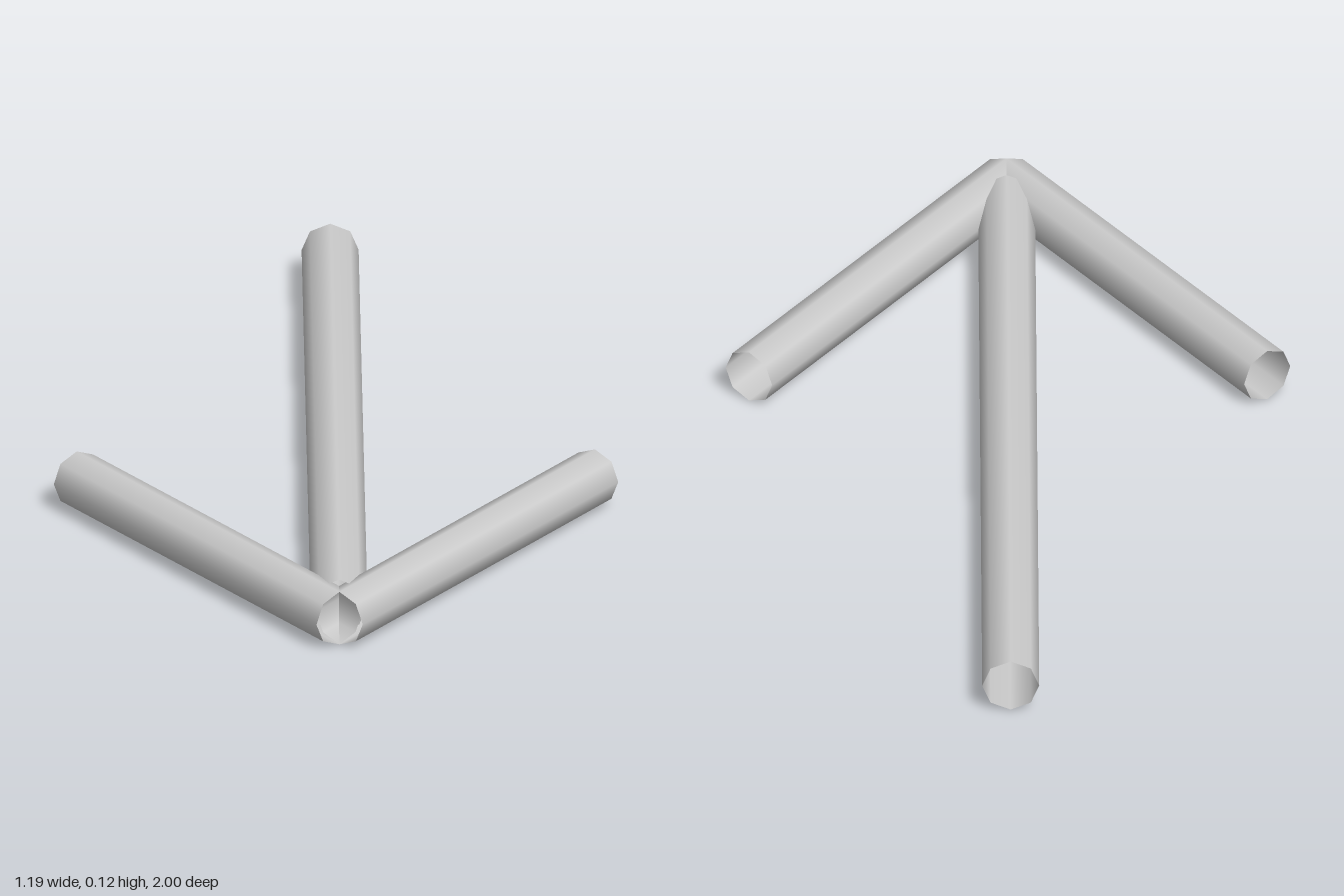
import * as THREE from 'three';

const RADIUS = 0.06;

export function createModel() {
  const group = new THREE.Group();
  const material = new THREE.MeshStandardMaterial({ color: 0xcccccc, side: THREE.DoubleSide });

  // Open eight-sided tube lying flat, a corner on top, from (0, z) to (x, endZ)
  function addTube(name, z, x, endZ) {
    const dx = x, dz = endZ - z;
    const geometry = new THREE.CylinderGeometry(RADIUS, RADIUS, Math.hypot(dx, dz), 8, 1, true);
    geometry.rotateX(-Math.PI / 2);
    geometry.rotateY(Math.atan2(-dx, -dz));
    const mesh = new THREE.Mesh(geometry, material);
    mesh.name = name;
    mesh.position.set(x / 2, RADIUS, (z + endZ) / 2);
    group.add(mesh);
  }

  // Long shaft running to the back
  addTube('shaft', 0.9, 0, -1);

  // Two swept-back arms meeting at the tip
  addTube('leftArm', 0.965, 0.545, 0.21);
  addTube('rightArm', 0.965, -0.545, 0.21);

  return group;
}
